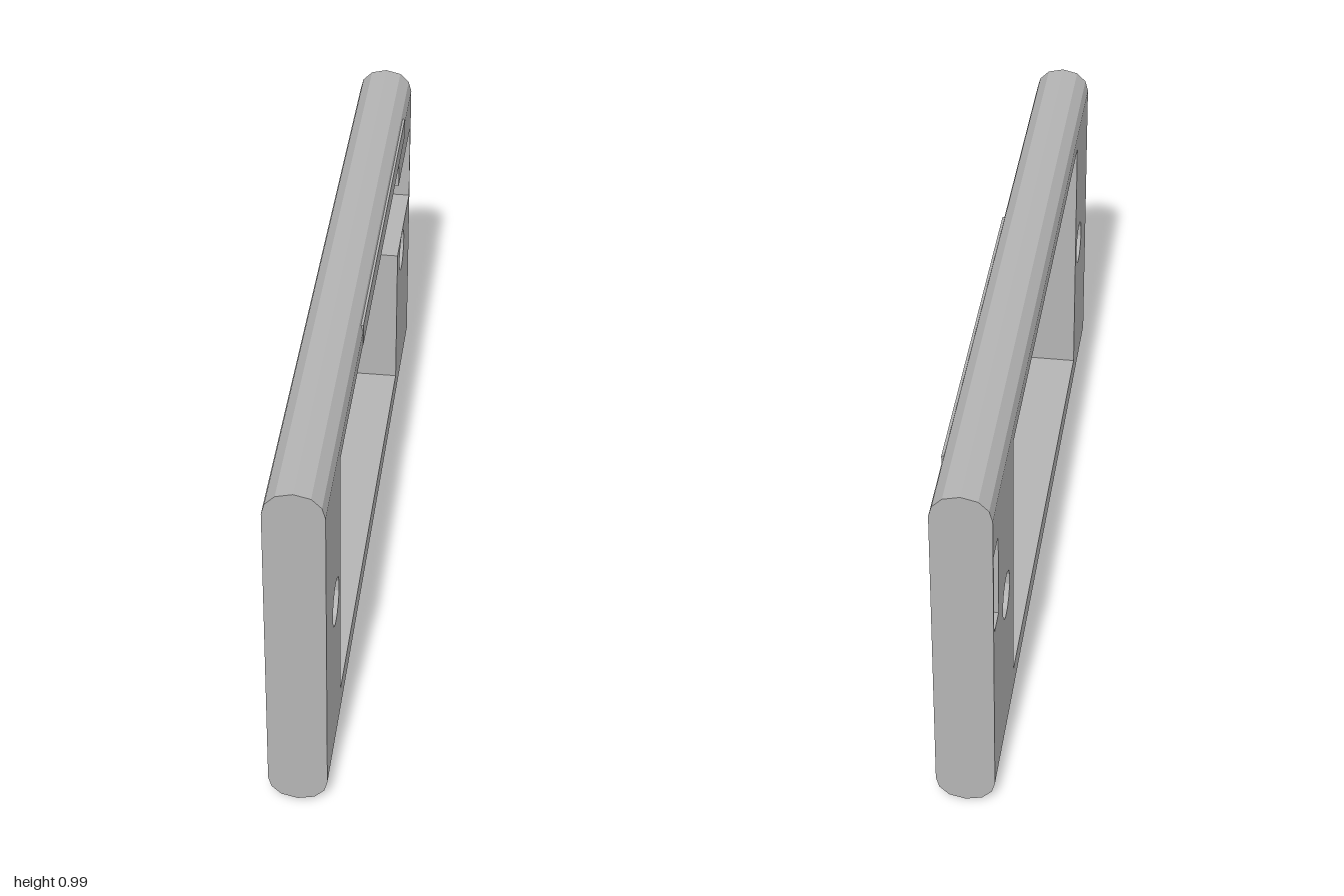
import * as THREE from 'three';

const HALF = 0.075;    // half thickness of the plate
const FLOOR = -0.062;  // inner face of the thin pocket floor

const vecs = (pts) => pts.map(([a, b]) => new THREE.Vector2(a, b));

// Twelve-sided screw hole outline
function screwHole(u, y, r = 0.063) {
  const pts = [];
  for (let i = 0; i < 12; i++) {
    const a = ((i + 0.5) / 12) * Math.PI * 2;
    pts.push([u + r * Math.cos(a), y + r * Math.sin(a)]);
  }
  return pts;
}

// Slab drawn in the side plane (u = -z, y) and extruded along x
function slab(holes, x0, x1) {
  const shape = new THREE.Shape(vecs([[-1, 0.065], [1, 0.065], [1, 0.92], [-1, 0.92]]));
  shape.holes = holes.map((h) => new THREE.Path(vecs(h)));
  const geo = new THREE.ExtrudeGeometry(shape, { depth: x1 - x0, bevelEnabled: false });
  geo.rotateY(Math.PI / 2);
  geo.translate(x0, 0, 0);
  return geo;
}

// Rounded rail running the whole length, drawn in the x-y plane
function rail(pts) {
  const geo = new THREE.ExtrudeGeometry(new THREE.Shape(vecs(pts)), { depth: 2, bevelEnabled: false });
  geo.translate(0, 0, -1);
  return geo;
}

export function createModel() {
  const group = new THREE.Group();
  const grey = new THREE.MeshStandardMaterial({ color: 0xb4b4b4 });
  grey.name = 'grey plastic';
  const add = (name, geo) => {
    const mesh = new THREE.Mesh(geo, grey);
    mesh.name = name;
    group.add(mesh);
    return mesh;
  };

  const screws = [screwHole(-0.815, 0.505), screwHole(0.78, 0.502, 0.062)];

  // Thin back layer: window and the narrow through slot
  const window = [[-0.725, 0.13], [0.65, 0.13], [0.65, 0.88], [-0.725, 0.88]];
  const slot = [[0.915, 0.565], [0.99, 0.565], [0.99, 0.805], [0.915, 0.805]];
  add('backLayer', slab([window, slot, ...screws], -HALF, FLOOR));

  // Main layer: window joined to the side pocket
  const windowAndPocket = [
    [-0.725, 0.13], [0.65, 0.13], [0.65, 0.565], [0.99, 0.565],
    [0.99, 0.805], [0.65, 0.805], [0.65, 0.88], [-0.725, 0.88],
  ];
  add('mainLayer', slab([windowAndPocket, ...screws], FLOOR, HALF));

  // Faceted round edges along the top and bottom
  const round = [[HALF, 0.065], [0.067, 0.035], [0.042, 0.01], [0, 0]];
  const outline = [...round, ...round.slice(0, 3).reverse().map(([x, y]) => [-x, y])];
  add('bottomEdge', rail(outline));
  add('topEdge', rail(outline.map(([x, y]) => [x, 0.985 - y])));

  // Slim raised strip above the window
  const strip = add('topStrip', new THREE.BoxGeometry(0.026, 0.06, 1.05));
  strip.position.set(0.063, 0.91, -0.275);

  return group;
}
